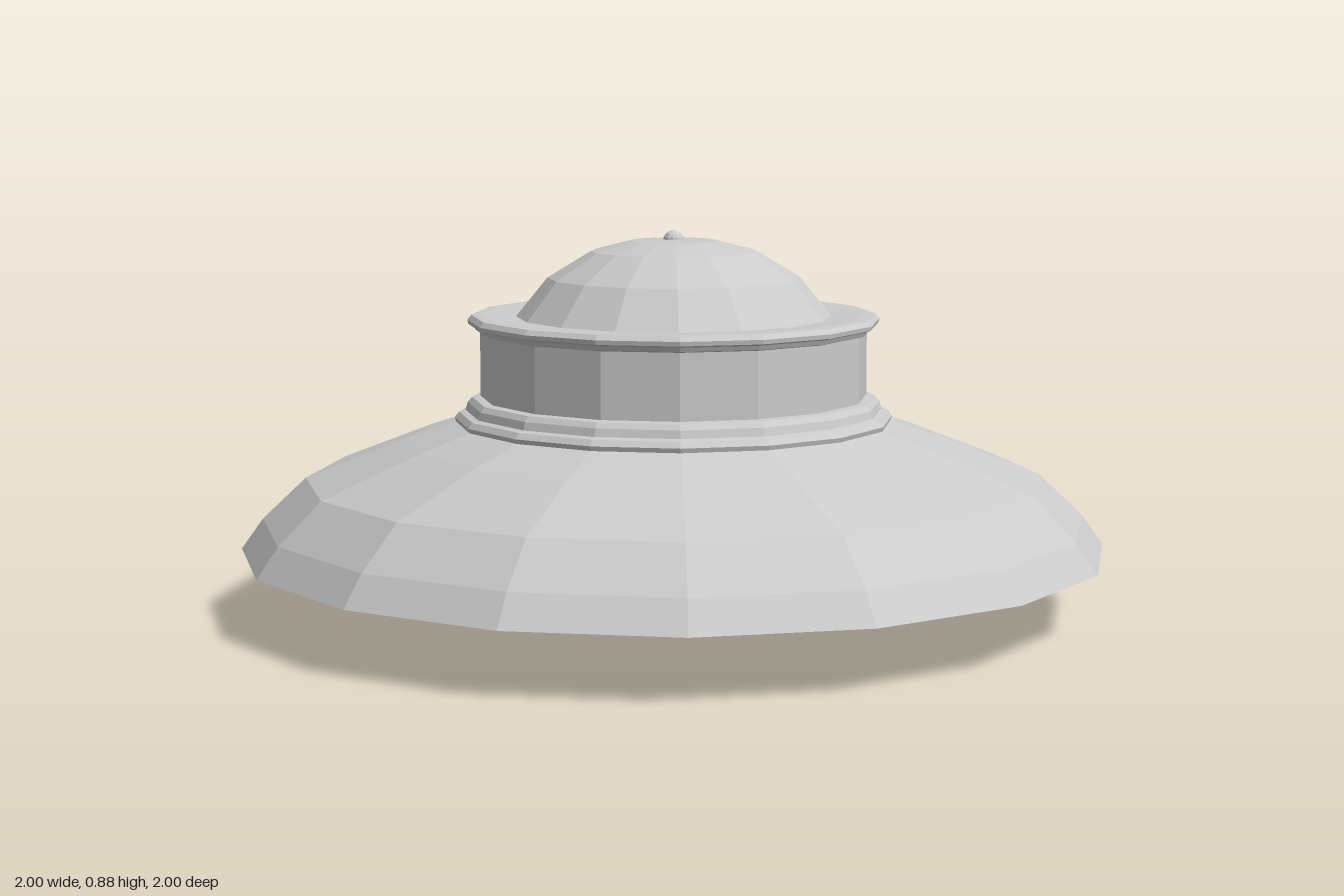
import * as THREE from 'three';

const SIDES = 16;

export function createModel() {
  const model = new THREE.Group();
  const material = new THREE.MeshStandardMaterial({ color: 0xcccccc, flatShading: true });

  // Faceted turned part; profile runs [radius, height], bottom to top along the outside
  const turned = (name, profile) => {
    const points = profile.map(([r, y]) => new THREE.Vector2(r, y));
    const mesh = new THREE.Mesh(new THREE.LatheGeometry(points, SIDES), material);
    mesh.name = name;
    model.add(mesh);
  };

  // Wide flared shade with a recessed channel under the rim
  turned('shade', [
    [0.56, 0.23], [0.71, 0.34], [0.97, 0.145], [1.0, 0.145],
    [0.95, 0.215], [0.85, 0.31], [0.62, 0.4], [0.5, 0.44], [0.44, 0.45],
  ]);

  // Round plate closing the underside
  turned('bottomPlate', [[0, 0.145], [0.57, 0.145], [0.57, 0.235], [0, 0.235]]);

  // Pointed knob below the plate
  turned('bottomKnob', [[0, 0], [0.035, 0.004], [0.19, 0.06], [0.19, 0.15]]);

  // Stepped moulding where the neck meets the shade
  turned('steppedCollar', [
    [0.5, 0.435], [0.505, 0.45], [0.495, 0.463], [0.48, 0.467],
    [0.475, 0.485], [0.465, 0.497], [0.44, 0.5],
  ]);

  // Neck drum
  turned('neck', [[0.445, 0.44], [0.445, 0.66]]);

  // Rolled lip and flat top of the neck
  turned('lip', [
    [0.44, 0.648], [0.455, 0.652], [0.46, 0.662], [0.472, 0.666],
    [0.474, 0.676], [0.465, 0.687], [0.44, 0.688], [0.34, 0.682],
  ]);

  // Low dome
  turned('dome', [
    [0.365, 0.68], [0.29, 0.772], [0.19, 0.833], [0.1, 0.856], [0, 0.86],
  ]);

  // Small ball on the crown
  const finial = new THREE.Mesh(new THREE.SphereGeometry(0.025, 12, 8), material);
  finial.name = 'finial';
  finial.position.y = 0.855;
  model.add(finial);

  return model;
}
